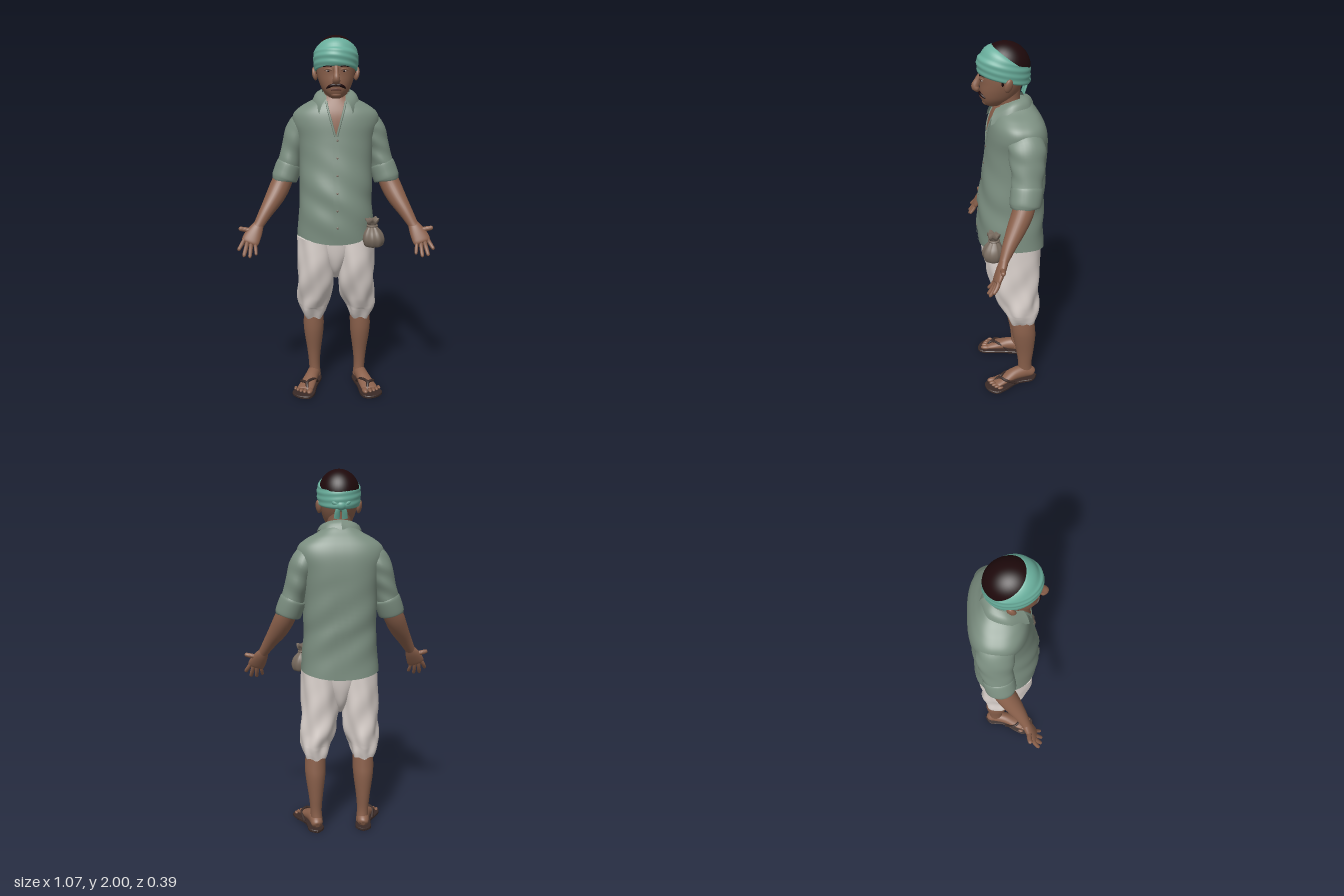
import * as THREE from 'three';

const paint = (name, color) => { const m = new THREE.MeshStandardMaterial({ color }); m.name = name; return m; };
const V = (x, y, z) => new THREE.Vector3(x, y, z);

export function createModel() {
  const skin = paint('skin', 0x8a604b), shirt = paint('shirt green', 0x7b8e80), linen = paint('linen', 0xdcd3ce);
  const teal = paint('headband teal', 0x69ae9c), hair = paint('hair', 0x1e090b), sack = paint('sack brown', 0x776a5e);
  const leather = paint('sandal leather', 0x3a2a26), white = paint('eye white', 0xa8948a), lip = paint('lip', 0x6c4236);
  shirt.side = THREE.DoubleSide;
  const root = new THREE.Group();
  const add = (name, geo, mat, parent = root) => {
    const m = new THREE.Mesh(geo, mat); m.name = name; parent.add(m); return m;
  };

  // Smooth skin through stations [x, y, z, halfWidth, halfDepth]; p and pb square off the front and back halves
  function loft(st, { n = 28, rows = st.length * 4, flat = false, p = 1, pb = p, warp } = {}) {
    const path = new THREE.CatmullRomCurve3(st.map(s => V(s[0], s[1], s[2])), false, 'catmullrom', 0.5);
    const size = new THREE.CatmullRomCurve3(st.map(s => V(s[3], s[4], 0)), false, 'catmullrom', 0.5);
    const pos = [], idx = [], bend = (c, e) => Math.sign(c) * Math.abs(c) ** e;
    for (let i = 0; i <= rows; i++) {
      const c = path.getPoint(i / rows), r = size.getPoint(i / rows);
      const t = flat ? V(0, 1, 0) : path.getTangent(i / rows);
      const u = V(1, 0, 0).addScaledVector(t, -t.x).normalize(), v = u.clone().cross(t);
      for (let j = 0; j < n; j++) {
        const a = j / n * Math.PI * 2, e = a > Math.PI ? pb : p;
        const q = c.clone().addScaledVector(u, r.x * bend(Math.cos(a), e)).addScaledVector(v, r.y * bend(Math.sin(a), e));
        if (warp) warp(q, a);
        pos.push(q.x, q.y, q.z);
        if (i < rows) {
          const A = i * n + j, B = i * n + (j + 1) % n;
          idx.push(A, A + n, B + n, A, B + n, B);
        }
      }
    }
    // Crisp end caps
    for (const end of [0, rows]) {
      const base = pos.length / 3, mid = V(0, 0, 0);
      for (let j = 0; j < n; j++) {
        const k = (end * n + j) * 3, q = V(pos[k], pos[k + 1], pos[k + 2]);
        mid.addScaledVector(q, 1 / n); pos.push(q.x, q.y, q.z);
        const J = base + (j + 1) % n;
        idx.push(base + n, ...(end ? [J, base + j] : [base + j, J]));
      }
      pos.push(mid.x, mid.y, mid.z);
    }
    return meshFrom(pos, idx);
  }
  function meshFrom(pos, idx) {
    const g = new THREE.BufferGeometry();
    g.setAttribute('position', new THREE.Float32BufferAttribute(pos, 3));
    g.setIndex(idx); g.computeVertexNormals(); return g;
  }
  // Rectangular sheet from a point rule
  function sheet(rows, cols, at) {
    const pos = [], idx = [];
    for (let i = 0; i <= rows; i++) for (let j = 0; j <= cols; j++) {
      pos.push(...at(i / rows, j / cols).toArray());
      const A = i * (cols + 1) + j, B = A + cols + 1;
      if (i < rows && j < cols) idx.push(A, A + 1, B + 1, A, B + 1, B);
    }
    return meshFrom(pos, idx);
  }
  const ray = new THREE.Raycaster();
  const onFront = (mesh, x, y, off = 0) => {
    ray.set(V(x, y, 1), V(0, 0, -1));
    const hit = ray.intersectObject(mesh)[0];
    return V(x, y, (hit ? hit.point.z : 0.05) + off);
  };
  const tube = (pts, r, seg = 16) => new THREE.TubeGeometry(new THREE.CatmullRomCurve3(pts), seg, r, 8);
  const ball = (name, mat, c, r) => {
    const m = add(name, new THREE.SphereGeometry(1, 24, 16), mat);
    m.position.copy(c); m.scale.set(...r); return m;
  };

  // Shirt body with sloping shoulders, curved hem and soft folds
  const torso = add('shirtBody', loft([
    [0, 0.885, -0.005, 0.216, 0.18], [0, 1.0, 0, 0.208, 0.18], [0, 1.1, -0.003, 0.2, 0.177], [0, 1.2, -0.01, 0.2, 0.173],
    [0, 1.35, -0.025, 0.2, 0.163], [0, 1.46, -0.034, 0.212, 0.158], [0, 1.54, -0.036, 0.234, 0.152], [0, 1.595, -0.034, 0.226, 0.14],
    [0, 1.635, -0.031, 0.18, 0.122], [0, 1.665, -0.028, 0.125, 0.104], [0, 1.69, -0.026, 0.09, 0.088], [0, 1.705, -0.022, 0.074, 0.074]],
  { n: 64, rows: 66, flat: true, p: 0.92, pb: 0.72, warp: q => {
    const low = Math.max(0, 1 - (q.y - 0.885) / 0.25);
    q.y += low * (0.032 * (q.x / 0.21) ** 2 + (q.z > 0 ? 0.018 * Math.min(1, q.z * 12) : 0));
    const fold = 0.005 * Math.sin(q.y * 34 + q.x * 22) * Math.max(0, 1 - Math.abs(q.y - 1.15) / 0.3);
    q.z += fold * Math.max(-1, Math.min(1, q.z * 15)); q.x *= 1 + fold;
  } }), shirt);

  // Open neckline, placket and buttons
  const vWidth = y => 0.004 + 0.046 * Math.min(1, (y - 1.48) / 0.17);
  add('bareChest', sheet(16, 8, (i, j) => {
    const y = 1.48 + 0.215 * i; return onFront(torso, vWidth(y) * (2 * j - 1), y, 0.003);
  }), skin);
  for (const s of [-1, 1]) add('necklineEdge', tube([1.48, 1.53, 1.58, 1.63, 1.66].map(y => onFront(torso, s * vWidth(y), y, 0.002)), 0.006), shirt);
  add('placket', sheet(30, 2, (i, j) => onFront(torso, -0.016 + 0.032 * j, 0.915 + 0.565 * i, 0.005)), shirt);
  for (let k = 0; k < 6; k++) ball('button', sack, onFront(torso, 0.006, 1.0 + k * 0.092, 0.004), [0.006, 0.006, 0.003]);

  // Folded collar, one wing on each side
  for (const s of [-1, 1]) {
    const curve = a => new THREE.CatmullRomCurve3(a.map(([x, y, z]) => V(s * x, y, z)));
    const top = curve([[0, 1.735, -0.075], [0.055, 1.727, -0.055], [0.074, 1.715, 0], [0.05, 1.675, 0.078]]);
    const low = curve([[0, 1.682, -0.125], [0.085, 1.682, -0.09], [0.122, 1.67, 0.005], [0.088, 1.598, 0.108]]);
    add('collar', sheet(18, 5, (i, j) => {
      const q = top.getPoint(i).lerp(low.getPoint(i), j), b = 0.007 * Math.sin(j * Math.PI);
      return q.add(V(s * b * Math.sin(i * 2.4), b, -b * Math.cos(i * 2.6)));
    }), shirt);
  }

  // Trousers seat, filling the gap between the two legs
  add('trouserSeat', loft([[0, 0.68, -0.01, 0.02, 0.05], [0, 0.73, -0.007, 0.045, 0.095], [0, 0.79, -0.005, 0.08, 0.122],
    [0, 0.87, -0.005, 0.14, 0.14], [0, 1.0, -0.005, 0.19, 0.155]], { n: 48, flat: true }), linen);

  for (const s of [-1, 1]) {
    // The left leg stands slightly wider than the right
    const sx = (x, y) => s * x + (s > 0 ? 0.015 * Math.min(1, Math.max(0, (0.7 - y) / 0.3)) : 0);
    const X = a => a.map(([x, y, ...r]) => [sx(x, y), y, ...r]);
    const P = a => a.map(([x, y, z]) => V(sx(x, y), y, z));

    // Baggy trouser leg gathered under the knee
    add('trouserLeg', loft(X([[0.127, 0.425, -0.058, 0.058, 0.074], [0.129, 0.455, -0.053, 0.07, 0.085], [0.13, 0.5, -0.045, 0.081, 0.098],
      [0.119, 0.57, -0.032, 0.096, 0.116], [0.112, 0.67, -0.014, 0.104, 0.136], [0.109, 0.78, -0.006, 0.107, 0.15], [0.105, 0.92, -0.005, 0.109, 0.152]]),
    { n: 56, rows: 48, flat: true, warp: (q, a) => {
      const f = 0.007 * Math.sin(a * 4 + q.y * 26) * Math.max(0, 1 - Math.abs(q.y - 0.56) / 0.3) + 0.003 * Math.sin(a * 7 - q.y * 14);
      q.x += f * Math.cos(a); q.z += f * Math.sin(a); q.y += q.y < 0.5 ? 0.006 * Math.sin(a * 5) : 0;
    } }), linen);

    // Lower leg and foot
    add('lowerLeg', loft(X([[0.122, 0.04, -0.075, 0.034, 0.045], [0.126, 0.11, -0.072, 0.032, 0.04], [0.127, 0.2, -0.072, 0.04, 0.05],
      [0.128, 0.31, -0.066, 0.055, 0.066], [0.128, 0.38, -0.06, 0.059, 0.068], [0.127, 0.48, -0.055, 0.054, 0.065]]), { flat: true }), skin);
    add('foot', loft(X([[0.122, 0.04, -0.128, 0.012, 0.012], [0.124, 0.046, -0.115, 0.03, 0.028], [0.128, 0.055, -0.07, 0.036, 0.04],
      [0.142, 0.054, -0.01, 0.037, 0.036], [0.162, 0.041, 0.055, 0.043, 0.024], [0.178, 0.033, 0.105, 0.045, 0.015], [0.182, 0.031, 0.118, 0.03, 0.01]])), skin);
    [[0.15, 0.142, 0.016], [0.178, 0.143, 0.011], [0.199, 0.133, 0.01], [0.217, 0.12, 0.0095], [0.232, 0.103, 0.009]].forEach(([x, z, r]) => {
      ball('toe', skin, V(sx(x, 0), 0.03, z - 0.012), [r, r * 0.85, r * 1.9]).rotation.y = s * 0.2;
    });

    // Sandal sole and thong straps
    const outline = new THREE.Shape(new THREE.SplineCurve([[0.122, -0.142], [0.166, -0.11], [0.178, -0.02], [0.228, 0.06], [0.247, 0.115], [0.212, 0.16],
      [0.16, 0.172], [0.128, 0.135], [0.113, 0.03], [0.086, -0.09], [0.122, -0.142]].map(([x, z]) => new THREE.Vector2(sx(x, 0), -z))).getPoints(48));
    const sole = new THREE.ExtrudeGeometry(outline, { depth: 0.01, bevelEnabled: true, bevelThickness: 0.003, bevelSize: 0.003, bevelSegments: 1 });
    add('sandalSole', sole.rotateX(-Math.PI / 2).translate(0, 0.003, 0), leather);
    add('outerStrap', tube(P([[0.165, 0.025, 0.125], [0.17, 0.06, 0.09], [0.201, 0.055, 0.055], [0.19, 0.018, -0.01]]), 0.008), leather);
    add('innerStrap', tube(P([[0.165, 0.025, 0.125], [0.165, 0.062, 0.085], [0.127, 0.06, 0.04], [0.108, 0.018, -0.015]]), 0.008), leather);

    // Sleeve and rolled cuff
    add('sleeve', loft(X([[0.13, 1.555, -0.04, 0.04, 0.07], [0.172, 1.54, -0.05, 0.067, 0.092], [0.204, 1.49, -0.057, 0.073, 0.096], [0.225, 1.43, -0.058, 0.067, 0.089],
      [0.246, 1.36, -0.053, 0.062, 0.082], [0.268, 1.28, -0.046, 0.065, 0.076]]), { n: 32,
      warp: (q, a) => { q.z += 0.003 * Math.sin(q.y * 60 + a * 2); } }), shirt);
    add('cuff', loft(X([[0.254, 1.318, -0.05, 0.064, 0.077], [0.257, 1.31, -0.049, 0.071, 0.083], [0.271, 1.27, -0.043, 0.073, 0.083],
      [0.284, 1.233, -0.036, 0.071, 0.08], [0.286, 1.226, -0.035, 0.06, 0.069]])), shirt);

    // Forearm and open hand
    add('forearm', loft(X([[0.275, 1.27, -0.045, 0.052, 0.056], [0.305, 1.2, -0.02, 0.056, 0.056], [0.338, 1.135, 0.015, 0.051, 0.05],
      [0.382, 1.065, 0.058, 0.038, 0.037], [0.418, 1.005, 0.09, 0.029, 0.025], [0.43, 0.985, 0.1, 0.03, 0.022]])), skin);
    add('palm', loft(X([[0.418, 1.005, 0.09, 0.027, 0.022], [0.437, 0.972, 0.106, 0.04, 0.023], [0.457, 0.935, 0.125, 0.048, 0.02],
      [0.467, 0.912, 0.137, 0.046, 0.016], [0.47, 0.905, 0.14, 0.03, 0.008]])), skin);
    const finger = (name, a, b, r) => {
      const A = V(...a), B = V(...b), at = (t, k) => [...A.clone().lerp(B, t).add(V(0, 0, -0.006 * Math.sin(t * 3))).toArray(), r * k, r * k];
      add(name, loft(X([at(0, 1.1), at(0.35, 1), at(0.65, 0.95), at(0.92, 0.8), at(1, 0.25)]), { n: 10 }), skin);
    };
    finger('indexFinger', [0.493, 0.93, 0.128], [0.528, 0.875, 0.165], 0.0115);
    finger('middleFinger', [0.478, 0.92, 0.135], [0.498, 0.843, 0.18], 0.0118);
    finger('ringFinger', [0.459, 0.915, 0.138], [0.465, 0.838, 0.185], 0.011);
    finger('littleFinger', [0.439, 0.91, 0.14], [0.43, 0.852, 0.18], 0.0095);
    finger('thumb', [0.45, 0.968, 0.112], [0.528, 0.985, 0.115], 0.014);
  }

  // Neck and head
  add('neck', loft([[0, 1.58, -0.03, 0.065, 0.07], [0, 1.66, -0.003, 0.062, 0.066], [0, 1.72, 0.016, 0.064, 0.07], [0, 1.8, 0.012, 0.07, 0.075]], { flat: true }), skin);
  const head = add('head', loft([[0, 1.678, 0.082, 0.022, 0.03], [0, 1.69, 0.076, 0.044, 0.056], [0, 1.72, 0.062, 0.07, 0.084], [0, 1.76, 0.05, 0.088, 0.102],
    [0, 1.8, 0.04, 0.099, 0.112], [0, 1.84, 0.033, 0.104, 0.122], [0, 1.88, 0.03, 0.106, 0.122], [0, 1.92, 0.03, 0.1, 0.115], [0, 1.96, 0.03, 0.075, 0.085]],
  { n: 40, rows: 40, flat: true, p: 0.94 }), skin);
  add('nose', loft([[0, 1.845, 0.146, 0.013, 0.01], [0, 1.81, 0.16, 0.014, 0.018], [0, 1.782, 0.174, 0.018, 0.02], [0, 1.766, 0.166, 0.02, 0.016], [0, 1.757, 0.156, 0.01, 0.008]], { n: 16 }), skin);
  add('lips', tube([-0.026, 0, 0.026].map(x => onFront(head, x, 1.727 - Math.abs(x) * 0.1, -0.001)), 0.006), lip);
  ball('chin', skin, V(0, 1.7, 0.12), [0.03, 0.018, 0.02]);
  for (const s of [-1, 1]) {
    ball('eye', white, onFront(head, s * 0.04, 1.818, -0.002), [0.014, 0.0055, 0.005]);
    ball('iris', hair, onFront(head, s * 0.04, 1.818, 0.001), [0.0055, 0.0055, 0.004]);
    add('upperEyelid', tube([0.022, 0.04, 0.06].map((x, k) => onFront(head, s * x, 1.824 + (k === 1 ? 0.004 : 0), 0.001)), 0.005), skin);
    add('eyebrow', tube([0.02, 0.042, 0.066].map((x, k) => onFront(head, s * x, 1.84 + (k === 1 ? 0.004 : 0), 0)), 0.0035), hair);
    add('moustache', loft([[0, 1.748, 0.005, 0.007], [0.02, 1.747, 0.008, 0.008], [0.038, 1.739, 0.007, 0.007], [0.05, 1.73, 0.002, 0.003]].map(([x, y, a, b]) =>
      [...onFront(head, s * x, y, 0.002).toArray(), a, b]), { n: 12 }), hair);
    ball('ear', skin, V(s * 0.111, 1.803, 0.02), [0.014, 0.036, 0.022]).rotation.set(-0.2, s * 0.35, -s * 0.15);
    ball('sideburn', hair, V(s * 0.094, 1.82, 0.048), [0.009, 0.025, 0.011]);
  }

  // Hair cap and wrapped headband, high at the brow and low at the nape
  const cap = add('hair', new THREE.SphereGeometry(1, 40, 24, 0, Math.PI * 2, 0, 1.95), hair);
  cap.position.set(0, 1.882, 0.018); cap.scale.set(0.111, 0.118, 0.126); cap.rotation.x = -0.38;
  add('headband', loft([[0, 1.81, 0.03, 0.107, 0.126], [0, 1.818, 0.03, 0.114, 0.132], [0, 1.848, 0.03, 0.118, 0.136], [0, 1.88, 0.028, 0.119, 0.136],
    [0, 1.907, 0.02, 0.115, 0.126], [0, 1.925, -0.002, 0.106, 0.1], [0, 1.928, -0.006, 0.099, 0.092]],
  { n: 56, rows: 40, flat: true, warp: (q, a) => {
    const f = 1 + 0.01 * Math.sin(q.y * 190 + Math.cos(a) * 2.2);
    const slope = 0.23 + 24 * Math.max(0, q.y - 1.907);
    q.x *= f; q.z = 0.02 + (q.z - 0.02) * f; q.y += slope * (q.z - 0.01);
  } }), teal);
  // Knot and hanging tails
  ball('knot', teal, V(0, 1.805, -0.092), [0.026, 0.024, 0.018]);
  for (const s of [-1, 1]) {
    ball('knotLoop', teal, V(s * 0.028, 1.815, -0.088), [0.026, 0.015, 0.014]).rotation.z = s * 0.5;
    add('knotTail', loft([[s * 0.005, 1.805, -0.09, 0.01, 0.007], [s * 0.018, 1.775, -0.082, 0.014, 0.007], [s * 0.022, 1.738, -0.07, 0.016, 0.005]], { n: 12 }), teal);
  }

  // Tied pouch at the hip
  const pouch = new THREE.Group(); pouch.name = 'pouch'; root.add(pouch);
  add('pouchBody', loft([[0.203, 0.882, 0.118, 0.03, 0.03], [0.203, 0.892, 0.118, 0.052, 0.048], [0.202, 0.925, 0.12, 0.061, 0.057], [0.2, 0.96, 0.118, 0.052, 0.049],
    [0.197, 0.992, 0.114, 0.028, 0.026], [0.195, 1.003, 0.113, 0.024, 0.022], [0.194, 1.025, 0.113, 0.038, 0.034], [0.193, 1.037, 0.113, 0.041, 0.034]],
  { n: 40, rows: 40, flat: true, warp: (q, a) => { q.z += 0.003 * Math.sin(a * 8); q.y += q.y > 1.01 ? 0.007 * Math.sin(a * 5) : 0; } }), sack, pouch);
  const cord = add('pouchCord', new THREE.TorusGeometry(0.026, 0.006, 8, 24), sack, pouch);
  cord.rotation.x = Math.PI / 2; cord.position.set(0.196, 0.998, 0.113);
  return root;
}
